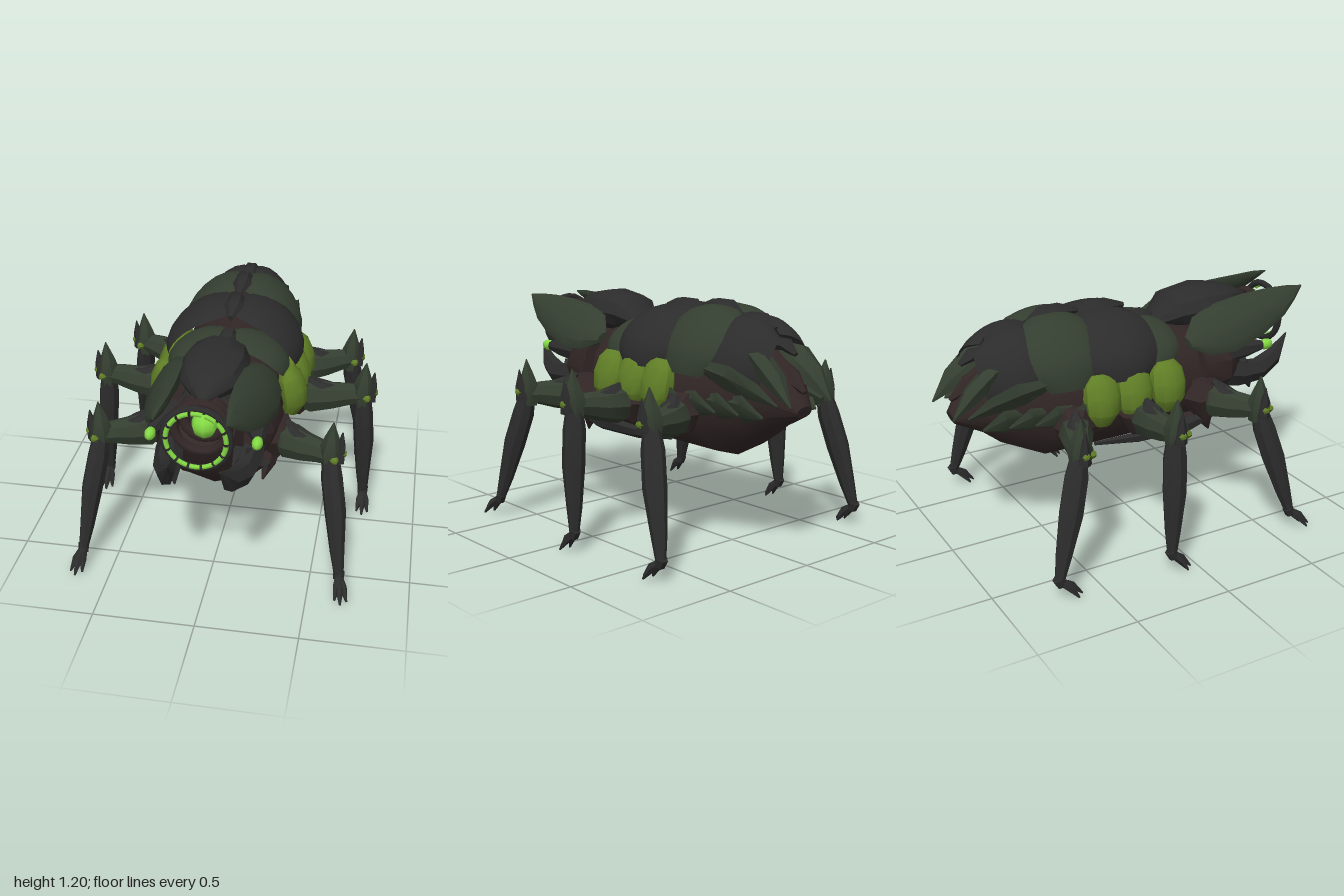
import * as THREE from 'three';
import { toCreasedNormals } from 'three/addons/utils/BufferGeometryUtils.js';

const paint = (name, color, side = THREE.FrontSide) => {
  const m = new THREE.MeshStandardMaterial({ color, side });
  m.name = name;
  return m;
};

export function createModel() {
  const model = new THREE.Group();
  const dark = paint('charcoal shell', 0x2c2c2d, THREE.DoubleSide);
  const moss = paint('moss shell', 0x343e30, THREE.DoubleSide);
  const flesh = paint('brown flesh', 0x322726);
  const sac = paint('olive glow', 0x607e26);
  const glow = paint('bright green', 0x84da44);

  const add = (name, geo, mat, parent = model) => {
    const mesh = new THREE.Mesh(geo, mat);
    mesh.name = name;
    parent.add(mesh);
    return mesh;
  };
  const mesh3 = (pos, idx) => {
    const g = new THREE.BufferGeometry();
    g.setAttribute('position', new THREE.Float32BufferAttribute(pos, 3));
    g.setIndex(idx);
    return g;
  };

  // Loft of elliptical rings; each section is [x, y, z, halfWidth, halfHeight]
  function loft(sections, n = 8, roll = 0) {
    const c = sections.map(p => new THREE.Vector3(p[0], p[1], p[2]));
    const last = c.length - 1, pos = [], idx = [];
    const whole = c[last].clone().sub(c[0]).normalize();
    const ref = Math.abs(whole.y) > 0.75 ? new THREE.Vector3(0, 0, 1) : new THREE.Vector3(0, 1, 0);
    c.forEach((p, i) => {
      const t = c[Math.min(i + 1, last)].clone().sub(c[Math.max(i - 1, 0)]).normalize();
      const side = ref.clone().cross(t).normalize().applyAxisAngle(t, roll);
      const up = t.clone().cross(side);
      const w = sections[i][3], h = sections[i][4] ?? w;
      for (let j = 0; j < n; j++) {
        const a = j / n * Math.PI * 2;
        const q = p.clone().addScaledVector(side, Math.cos(a) * w).addScaledVector(up, Math.sin(a) * h);
        pos.push(q.x, q.y, q.z);
      }
    });
    for (let i = 0; i < last; i++) for (let j = 0; j < n; j++) {
      const a = i * n + j, b = i * n + (j + 1) % n;
      idx.push(a, b, b + n, a, b + n, a + n);
    }
    const s = pos.length / 3;
    pos.push(...c[0].toArray(), ...c[last].toArray());
    for (let j = 0; j < n; j++) {
      const k = (j + 1) % n;
      idx.push(s, k, j, s + 1, last * n + j, last * n + k);
    }
    return toCreasedNormals(mesh3(pos, idx), 0.65);
  }
  const flip = (s, pts) => pts.map(([x, ...r]) => [x * s, ...r]);

  // Domed back plate covering one side of the body, narrowing and sinking to the rear
  function backPlate(s, z0, z1, rx, top, aMax, narrow, sink) {
    const N = 8, pos = [], idx = [], base = 0.85;
    for (let i = 0; i <= N; i++) for (let j = 0; j <= N; j++) {
      const u = i / N, v = j / N, e = Math.abs(2 * v - 1);
      const a = 0.03 + v * aMax;
      const k = 0.87 + 0.13 * Math.pow(Math.max(0, Math.sin(Math.PI * u)), 0.6) * (1 - 0.45 * e ** 4);
      const half = (z0 - z1) / 2 * (1 - 0.4 * e ** 3);
      pos.push(s * rx * Math.sin(a) * k * (1 - narrow * u * u),
        base + (top - base) * Math.cos(a) * k - sink * u * u,
        (z0 + z1) / 2 + half * (1 - 2 * u));
      if (i < N && j < N) {
        const p = i * (N + 1) + j, q = p + N + 1;
        if (s > 0) idx.push(p, p + 1, q, p + 1, q + 1, q);
        else idx.push(p, q, p + 1, p + 1, q, q + 1);
      }
    }
    const g = mesh3(pos, idx);
    g.computeVertexNormals();
    return g;
  }

  // Body and belly
  add('body', loft([[0, 0.73, -0.96, 0.05, 0.03], [0, 0.77, -0.84, 0.14, 0.15], [0, 0.785, -0.7, 0.215, 0.245],
    [0, 0.76, -0.52, 0.28, 0.31], [0, 0.76, -0.1, 0.31, 0.3], [0, 0.76, 0.2, 0.29, 0.3],
    [0, 0.74, 0.4, 0.26, 0.28], [0, 0.81, 0.49, 0.2, 0.23], [0, 0.9, 0.62, 0.14, 0.14]], 12), flesh);
  add('chin', loft([[0, 0.55, 0.15, 0.25, 0.09], [0, 0.55, 0.4, 0.24, 0.09], [0, 0.62, 0.52, 0.14, 0.06]], 8), flesh);
  add('tailTip', loft([[0, 0.95, -0.75, 0.05], [0, 0.87, -0.88, 0.04], [0, 0.82, -0.96, 0.01]], 6), flesh);

  // Back plates: front z, rear z, half width, top, sweep, narrowing, sinking, colour
  const rows = [[0.18, -0.1, 0.345, 1.1, 1.25, 0, 0, moss], [0.03, -0.38, 0.385, 1.185, 1.42, 0.04, 0, dark],
    [-0.26, -0.63, 0.34, 1.205, 1.45, 0.06, 0.01, moss], [-0.51, -0.86, 0.28, 1.175, 1.5, 0.3, 0.06, dark]];
  for (const s of [-1, 1]) {
    for (const [z0, z1, rx, top, a, narrow, sink, m] of rows)
      add('backPlate', backPlate(s, z0, z1, rx, top, a, narrow, sink), m);
    add('tailPlate', loft(flip(s, [[0.1, 1.0, -0.68, 0.03], [0.115, 0.96, -0.79, 0.09, 0.05],
      [0.125, 0.88, -0.89, 0.07, 0.05], [0.135, 0.77, -1.0, 0.004]]), 6, -0.45 * s), moss);
    add('tailSidePlate', loft(flip(s, [[0.25, 0.92, -0.55, 0.03], [0.225, 0.875, -0.69, 0.09, 0.04],
      [0.18, 0.825, -0.81, 0.065, 0.03], [0.15, 0.77, -0.93, 0.005]]), 6, -1.0 * s), moss);
    // Overlapping scales along the lower flank
    for (let i = 0; i < 4; i++) {
      const z = -0.36 - i * 0.12, x = 0.3 - i * 0.037;
      add('flankScale', loft(flip(s, [[x, 0.76, z + 0.05, 0.03], [x + 0.01, 0.74, z - 0.04, 0.08, 0.025],
        [x - 0.01, 0.71, z - 0.15, 0.006]]), 6, -1.2 * s), moss);
    }
    // Lower ridges
    add('bellyRidge', loft(flip(s, [[0.24, 0.55, 0.4, 0.02], [0.26, 0.53, 0.22, 0.05, 0.04],
      [0.25, 0.52, -0.05, 0.05, 0.03], [0.23, 0.53, -0.3, 0.01]]), 6, -0.5 * s), dark);
    add('chinBarb', loft(flip(s, [[0.26, 0.62, 0.3, 0.05], [0.25, 0.54, 0.34, 0.04], [0.23, 0.46, 0.38, 0.005]]), 5), flesh);
    // Glow sacs
    for (const z of [0.06, -0.13, -0.31])
      add('glowSac', loft(flip(s, [[0.325, 0.685, z, 0.04, 0.05], [0.338, 0.75, z, 0.07, 0.09], [0.33, 0.82, z, 0.074, 0.096],
        [0.312, 0.89, z, 0.06, 0.086], [0.3, 0.93, z, 0.035, 0.05]]), 10), sac);
  }

  // Spine knobs
  [[0.07, 1.08, 0.1], [-0.15, 1.165, 0.14], [-0.41, 1.18, 0.14], [-0.64, 1.135, 0.13], [-0.8, 1.03, 0.1]].forEach(([z, y, l]) =>
    add('spineKnob', loft([[0, y - 0.02, z + l, 0.015], [0, y, z + l * 0.3, 0.05, 0.03],
      [0, y, z - l * 0.4, 0.045, 0.03], [0, y - 0.04, z - l, 0.012]], 6), dark));

  // Head crest
  add('headCrest', loft([[0, 1.035, 0.16, 0.08, 0.03], [0, 1.08, 0.27, 0.145, 0.1], [0, 1.09, 0.42, 0.168, 0.112],
    [0, 1.095, 0.57, 0.135, 0.08], [0, 1.09, 0.66, 0.075, 0.05], [0, 1.08, 0.74, 0.012]], 10), dark);
  for (const s of [-1, 1]) {
    add('headPlate', loft(flip(s, [[0.25, 0.97, 0.23, 0.035, 0.02], [0.237, 0.99, 0.32, 0.11, 0.045],
      [0.23, 1.01, 0.46, 0.138, 0.05], [0.205, 1.045, 0.66, 0.12, 0.045], [0.185, 1.08, 0.82, 0.085, 0.03],
      [0.172, 1.11, 0.92, 0.045, 0.02], [0.16, 1.133, 1.0, 0.004]]), 8, -0.9 * s), moss);
    add('cheek', loft(flip(s, [[0.24, 0.8, 0.3, 0.08, 0.14], [0.22, 0.8, 0.46, 0.08, 0.12], [0.17, 0.82, 0.57, 0.04, 0.07]]), 7), flesh);
    add('mandible', loft(flip(s, [[0.2, 0.76, 0.42, 0.05, 0.08], [0.2, 0.725, 0.58, 0.06, 0.07],
      [0.185, 0.715, 0.72, 0.055, 0.062], [0.15, 0.755, 0.85, 0.04, 0.055], [0.12, 0.86, 0.95, 0.004]]), 6), dark);
    add('jawFang', loft(flip(s, [[0.17, 0.78, 0.6, 0.055], [0.16, 0.69, 0.66, 0.045], [0.145, 0.6, 0.7, 0.004]]), 5), dark);
    // Eye on its stalk
    add('eyeStalk', loft(flip(s, [[0.2, 0.87, 0.48, 0.07], [0.235, 0.88, 0.6, 0.052], [0.25, 0.88, 0.69, 0.025]]), 7), dark);
    const eye = add('eye', new THREE.SphereGeometry(1, 8, 6), glow);
    eye.scale.set(0.027, 0.029, 0.044);
    eye.position.set(0.25 * s, 0.88, 0.715);
  }

  // Mouth rings and lens
  const ring = (name, r, tube, z, mat, arc = Math.PI * 2, turn = 0) => {
    const m = add(name, new THREE.TorusGeometry(r, tube, 6, arc > 6 ? 20 : 3, arc), mat);
    m.position.set(0, 0.97, z);
    m.rotation.z = turn;
  };
  add('muzzle', loft([[0, 0.95, 0.5, 0.15], [0, 0.95, 0.62, 0.135], [0, 0.95, 0.67, 0.11]], 10), dark);
  ring('outerMouthRing', 0.152, 0.018, 0.868, dark);
  ring('middleMouthRing', 0.125, 0.025, 0.77, flesh);
  ring('innerMouthRing', 0.1, 0.03, 0.68, flesh);
  for (let i = 0; i < 14; i++) ring('ringLight', 0.137, 0.012, 0.885, glow, 0.36, i / 14 * Math.PI * 2);
  for (const a of [0.5, 2.64]) {
    const x = Math.cos(a), y = Math.sin(a);
    add('mouthRod', loft([[x * 0.12, 0.97 + y * 0.12, 0.6, 0.012], [x * 0.145, 0.97 + y * 0.145, 0.87, 0.01]], 5), dark);
  }
  const lens = add('lens', new THREE.SphereGeometry(0.065, 8, 6), glow);
  lens.position.set(0, 0.93, 0.675);

  // Legs: hip, knee, ankle, toe
  const legs = { front: [[0.24, 0.69, 0.28], [0.565, 0.685, 0.45], [0.65, 0.1, 0.62], [0.67, 0.006, 0.735]],
    middle: [[0.26, 0.69, -0.1], [0.68, 0.72, -0.11], [0.715, 0.1, -0.14], [0.72, 0.006, -0.035]],
    rear: [[0.24, 0.69, -0.42], [0.585, 0.685, -0.565], [0.665, 0.1, -0.725], [0.67, 0.006, -0.61]] };
  const mix = (a, b, t) => a.map((v, i) => v + (b[i] - v) * t);
  const shift = (p, x, y, z) => [p[0] + x, p[1] + y, p[2] + z];
  for (const [key, [hip, knee, ankle, toe]] of Object.entries(legs)) for (const s of [-1, 1]) {
    const leg = new THREE.Group();
    leg.name = key + (s > 0 ? 'LeftLeg' : 'RightLeg');
    model.add(leg);
    const part = (name, pts, mat, n = 6) => add(name, loft(flip(s, pts), n), mat, leg);
    part('hip', [[...hip, 0.1], [...mix(hip, knee, 0.22), 0.1, 0.115], [...mix(hip, knee, 0.4), 0.05]], flesh);
    part('thigh', [[...mix(hip, knee, 0.15), 0.05], [...shift(mix(hip, knee, 0.36), 0, -0.01, 0), 0.085, 0.095],
      [...shift(mix(hip, knee, 0.62), 0, -0.01, 0), 0.07, 0.075], [...mix(hip, knee, 0.85), 0.058, 0.06], [...knee, 0.05]], moss, 8);
    part('thighPlate', [[...shift(mix(hip, knee, 0.3), 0, 0.09, 0), 0.015], [...shift(mix(hip, knee, 0.5), 0, 0.045, 0), 0.055, 0.03],
      [...shift(mix(hip, knee, 0.75), 0, 0.04, 0), 0.01]], dark);
    part('kneeGuard', [[...shift(knee, 0, -0.06, 0), 0.04, 0.05], [...shift(knee, 0, 0.03, 0), 0.058, 0.062],
      [...shift(knee, 0.005, 0.1, 0), 0.035, 0.035], [...shift(knee, 0.01, 0.18, 0), 0.003]], moss);
    part('kneeSpike', [[...shift(knee, 0.04, -0.03, 0), 0.035], [...shift(knee, 0.05, 0.05, 0), 0.025],
      [...shift(knee, 0.055, 0.13, 0), 0.003]], dark, 5);
    part('kneeLight', [[...shift(knee, 0.02, 0, 0.03), 0.022], [...shift(knee, 0.025, 0, 0.055), 0.02],
      [...shift(knee, 0.03, 0, 0.068), 0.01]], sac);
    part('sideLight', [[...shift(knee, 0.04, 0.015, 0), 0.02], [...shift(knee, 0.068, 0.015, 0), 0.02],
      [...shift(knee, 0.078, 0.015, 0), 0.01]], sac);
    part('shin', [[...shift(knee, 0, 0.02, 0), 0.038], [...mix(knee, ankle, 0.18), 0.053, 0.06],
      [...shift(mix(knee, ankle, 0.46), 0.005, 0, 0), 0.053, 0.062], [...mix(knee, ankle, 0.8), 0.036, 0.042], [...ankle, 0.024]], dark, 8);
    part('ankle', [[...shift(ankle, 0, 0.02, -0.01), 0.028], [...shift(ankle, 0, -0.02, 0.01), 0.026]], dark);
    [-0.03, 0, 0.03].forEach((d, i) => {
      const tip = shift(toe, d, 0, i === 1 ? 0 : -0.03);
      part('toe', [[...ankle, 0.018], [...shift(mix(ankle, tip, 0.55), 0, 0.012, 0), 0.02], [...tip, 0.005]], dark, 5);
    });
  }
  return model;
}
